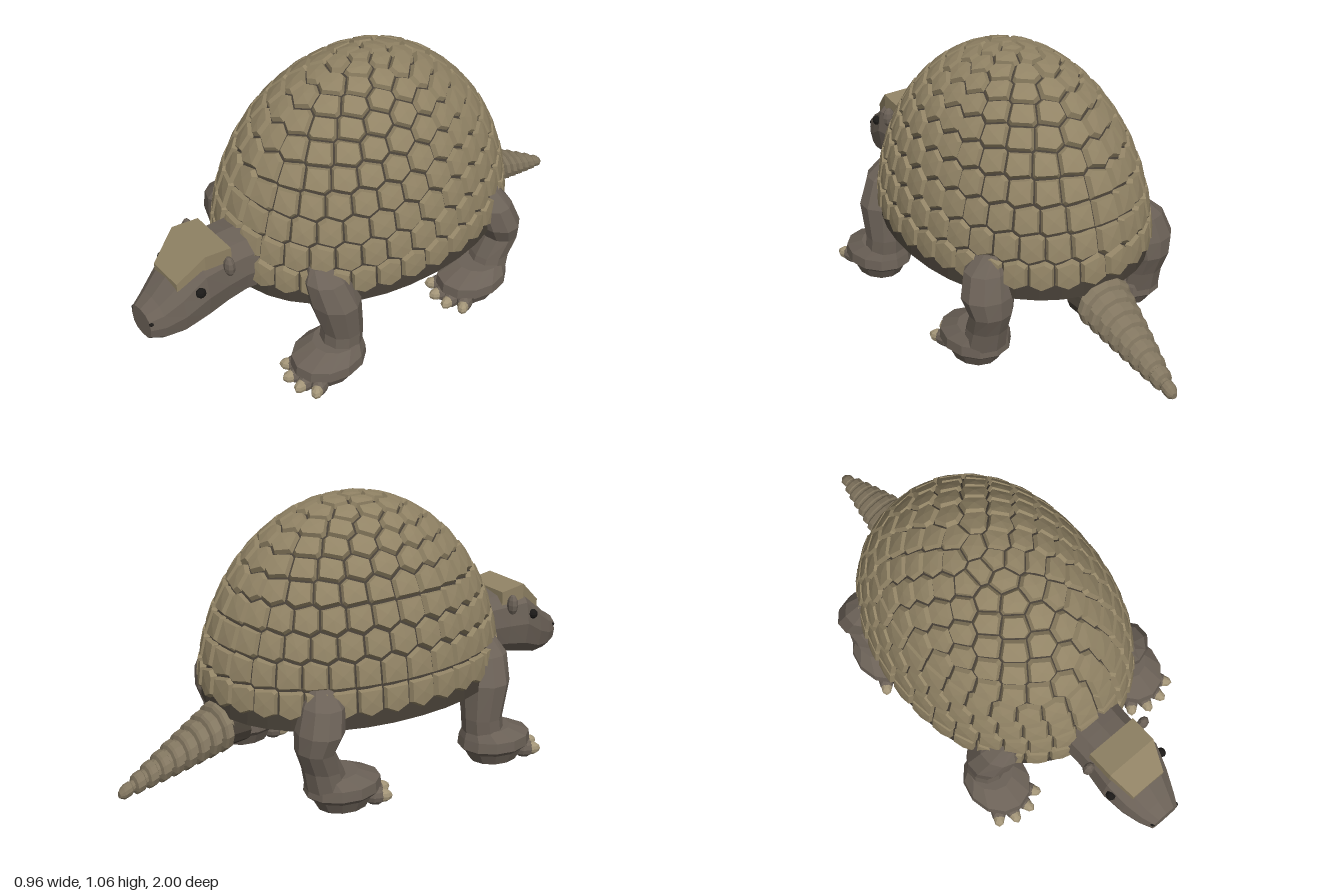
import * as THREE from 'three';
import { mergeGeometries } from 'three/addons/utils/BufferGeometryUtils.js';

const mat = (color) => new THREE.MeshStandardMaterial({ color, flatShading: true });
const skin = mat(0x6b6157), dark = mat(0x463f36), scute = mat(0x918365);
const tailMat = mat(0x827660), clawMat = mat(0xa39578), black = mat(0x1c1a18);

const bend = (v, p) => Math.sign(v) * Math.abs(v) ** p;

// Closed skin over oval sections [x, y, z, rx, r2], listed upward along the axis
function loft(sections, axis, n = 12, p = 1, phase = 0) {
  const pos = [], idx = [];
  for (const [x, y, z, rx, r2] of sections) {
    for (let j = 0; j < n; j++) {
      const a = phase + (j / n) * Math.PI * 2;
      const c = bend(Math.cos(a), p), s = bend(Math.sin(a), p);
      if (axis === 'z') pos.push(x + rx * c, y + r2 * s, z);
      else pos.push(x + rx * s, y, z + r2 * c);
    }
  }
  const last = sections.length - 1;
  const base = pos.length / 3;
  pos.push(...sections[0].slice(0, 3), ...sections[last].slice(0, 3));
  for (let j = 0; j < n; j++) {
    const k = (j + 1) % n;
    for (let i = 0; i < last; i++) {
      const a = i * n + j, b = i * n + k;
      idx.push(a, b, b + n, a, b + n, a + n);
    }
    idx.push(base, k, j, base + 1, last * n + j, last * n + k);
  }
  const g = new THREE.BufferGeometry();
  g.setAttribute('position', new THREE.Float32BufferAttribute(pos, 3));
  g.setIndex(idx);
  g.computeVertexNormals();
  return g;
}

// Shell outline: theta runs down from the crown, phi runs round it
const RIM = 0.325, A = 0.462, H = 0.728, L = 0.605, P = 0.93;
const shellPoint = (theta, phi) => new THREE.Vector3(
  A * Math.sin(theta) * bend(Math.cos(phi), P),
  RIM + H * Math.cos(theta),
  L * Math.sin(theta) * bend(Math.sin(phi), P));

// Honeycomb of raised plates: each cell is cut halfway to its neighbours
function scuteGeometry() {
  const rows = 11, step = Math.PI / 2 / (rows - 0.05), seeds = [];
  for (let i = 0; i <= rows; i++) {
    const theta = i * step;
    const count = i ? Math.max(5, Math.round(2 * Math.PI * 0.54 * Math.sin(theta) / 0.1)) : 1;
    for (let j = 0; j < count; j++) {
      const u = ((j + (i % 2) / 2) / count) * Math.PI * 2;
      seeds.push({ p: shellPoint(theta, u - 0.06 * Math.sin(2 * u)), row: i });
    }
  }
  const plates = [];
  for (const { p, row } of seeds) {
    if (row === rows) continue; // the lowest seeds only trim the row above
    const normal = new THREE.Vector3(p.x / A ** 2, (p.y - RIM) / H ** 2, p.z / L ** 2).normalize();
    const t = new THREE.Vector3(normal.z, 0, -normal.x);
    if (t.lengthSq() < 1e-6) t.set(1, 0, 0);
    t.normalize();
    const b = normal.clone().cross(t);
    let cell = [[-0.1, -0.1], [0.1, -0.1], [0.1, 0.1], [-0.1, 0.1]];
    for (const { p: q } of seeds) {
      if (q === p || q.distanceTo(p) > 0.25) continue;
      const d = q.clone().sub(p), qx = d.dot(t), qy = d.dot(b), half = (qx * qx + qy * qy) / 2;
      const side = ([x, y]) => x * qx + y * qy - half;
      const cut = [];
      cell.forEach((v, i) => {
        const w = cell[(i + 1) % cell.length], sv = side(v), sw = side(w);
        if (sv <= 0) cut.push(v);
        if (sv * sw < 0) {
          const k = sv / (sv - sw);
          cut.push([v[0] + (w[0] - v[0]) * k, v[1] + (w[1] - v[1]) * k]);
        }
      });
      cell = cut;
    }
    const pos = [];
    const at = ([x, y], scale, h) => p.clone().addScaledVector(t, x * scale)
      .addScaledVector(b, y * scale).addScaledVector(normal, h);
    const tri = (...v) => v.forEach((q) => pos.push(q.x, q.y, q.z));
    cell.forEach((v, i) => {
      const w = cell[(i + 1) % cell.length];
      const a0 = at(v, 0.95, -0.014), b0 = at(w, 0.95, -0.014);
      const a1 = at(v, 0.8, 0.008), b1 = at(w, 0.8, 0.008);
      tri(a0, b0, b1); tri(a0, b1, a1); tri(a1, b1, at([0, 0], 1, 0.012));
    });
    const g = new THREE.BufferGeometry();
    g.setAttribute('position', new THREE.Float32BufferAttribute(pos, 3));
    plates.push(g);
  }
  const g = mergeGeometries(plates);
  g.computeVertexNormals();
  return g;
}

export function createModel() {
  const model = new THREE.Group();
  const add = (name, geometry, material, parent = model) => {
    const m = new THREE.Mesh(geometry, material);
    m.name = name;
    parent.add(m);
    return m;
  };
  const blob = (name, material, [x, y, z], [rx, ry, rz], parent) => {
    const m = add(name, new THREE.SphereGeometry(1, 8, 6), material, parent);
    m.position.set(x, y, z);
    m.scale.set(rx, ry, rz);
    return m;
  };

  // Shell core, plates and belly
  const core = [];
  for (let i = 0; i <= 12; i++) {
    const a = (i / 12) * 1.55;
    core.push([0, RIM + 0.722 * Math.sin(a), 0, 0.456 * Math.cos(a), 0.598 * Math.cos(a)]);
  }
  add('shellCore', loft(core, 'y', 36, P), dark);
  add('shellPlates', scuteGeometry(), scute);
  add('belly', loft([[0, 0.205, 0, 0.1, 0.16], [0, 0.22, 0, 0.21, 0.31], [0, 0.255, 0, 0.31, 0.44],
    [0, 0.34, 0, 0.37, 0.53]], 'y', 16), dark);

  // Neck, head and snout
  add('head', loft([[0, 0.42, 0.48, 0.14, 0.13], [0, 0.43, 0.62, 0.13, 0.13], [0, 0.425, 0.7, 0.13, 0.138],
    [0, 0.42, 0.79, 0.138, 0.152], [0, 0.365, 0.88, 0.117, 0.118], [0, 0.335, 0.95, 0.09, 0.085],
    [0, 0.33, 1, 0.064, 0.06]], 'z', 12, 0.8), skin);
  add('foreheadPlate', loft([[0, 0.54, 0.67, 0.15, 0.042], [0, 0.55, 0.78, 0.15, 0.05],
    [0, 0.462, 0.885, 0.105, 0.042]], 'z', 4, 1, Math.PI / 4), scute);
  for (const s of [1, -1]) {
    blob('ear', skin, [s * 0.135, 0.52, 0.7], [0.026, 0.042, 0.02]);
    blob('eye', black, [s * 0.127, 0.455, 0.82], [0.018, 0.02, 0.02]);
    blob('nostril', black, [s * 0.058, 0.355, 0.992], [0.01, 0.009, 0.01]);
  }

  // Legs with broad feet and four claws each
  const legs = {
    front: { foot: 0.435, column: [[0.355, 0.1, 0.38, 0.085, 0.08], [0.355, 0.2, 0.37, 0.08, 0.078],
      [0.335, 0.34, 0.39, 0.108, 0.095], [0.315, 0.44, 0.41, 0.08, 0.085], [0.3, 0.49, 0.42, 0.03, 0.05]] },
    rear: { foot: -0.28, column: [[0.36, 0.1, -0.35, 0.085, 0.08], [0.36, 0.18, -0.37, 0.08, 0.075],
      [0.365, 0.26, -0.405, 0.085, 0.068], [0.365, 0.33, -0.385, 0.105, 0.085],
      [0.35, 0.42, -0.36, 0.09, 0.08], [0.33, 0.48, -0.35, 0.04, 0.05]] },
  };
  for (const [end, { foot, column }] of Object.entries(legs)) {
    for (const s of [1, -1]) {
      const leg = new THREE.Group();
      leg.name = end + 'Leg';
      model.add(leg);
      const x = s * 0.355;
      add('legColumn', loft(column.map(([cx, ...r]) => [s * cx, ...r]), 'y', 10), skin, leg);
      add('foot', loft([[x, 0.012, foot, 0.085, 0.1], [x, 0.055, foot, 0.105, 0.125],
        [x, 0.075, foot, 0.126, 0.15], [x, 0.115, foot, 0.123, 0.145],
        [x, 0.155, foot - 0.04, 0.085, 0.095]], 'y', 12), skin, leg);
      for (let i = 0; i < 4; i++) {
        const a = (i - 1.5) * 0.45;
        const place = (r) => [x + Math.sin(a) * r * 0.92, 0.045, foot + Math.cos(a) * r];
        blob('toe', skin, place(0.122), [0.033, 0.037, 0.045], leg).rotation.y = a;
        blob('claw', clawMat, place(0.152), [0.023, 0.026, 0.036], leg).rotation.y = a;
      }
    }
  }

  // Tail: shrinking rings separated by narrow grooves
  const tail = [[0, 0.1, -1, 0.012, 0.012]];
  const rings = 9;
  for (let i = 0; i < rings; i++) {
    const k = i / (rings - 1), z = -0.985 + k * 0.37, y = 0.105 + k * 0.155;
    const rx = 0.026 + 0.09 * k ** 0.85, ry = 0.026 + 0.064 * k ** 0.85;
    tail.push([0, y, z, rx * 0.93, ry * 0.93], [0, y + 0.004, z + 0.008, rx, ry],
      [0, y + 0.011, z + 0.028, rx, ry], [0, y + 0.013, z + 0.032, rx * 0.84, ry * 0.84],
      [0, y + 0.017, z + 0.042, rx * 0.84, ry * 0.84]);
  }
  add('tail', loft(tail, 'z', 12), tailMat);
  add('tailBase', loft([[0, 0.265, -0.6, 0.1, 0.075], [0, 0.27, -0.51, 0.105, 0.07]], 'z', 12), dark);

  return model;
}
